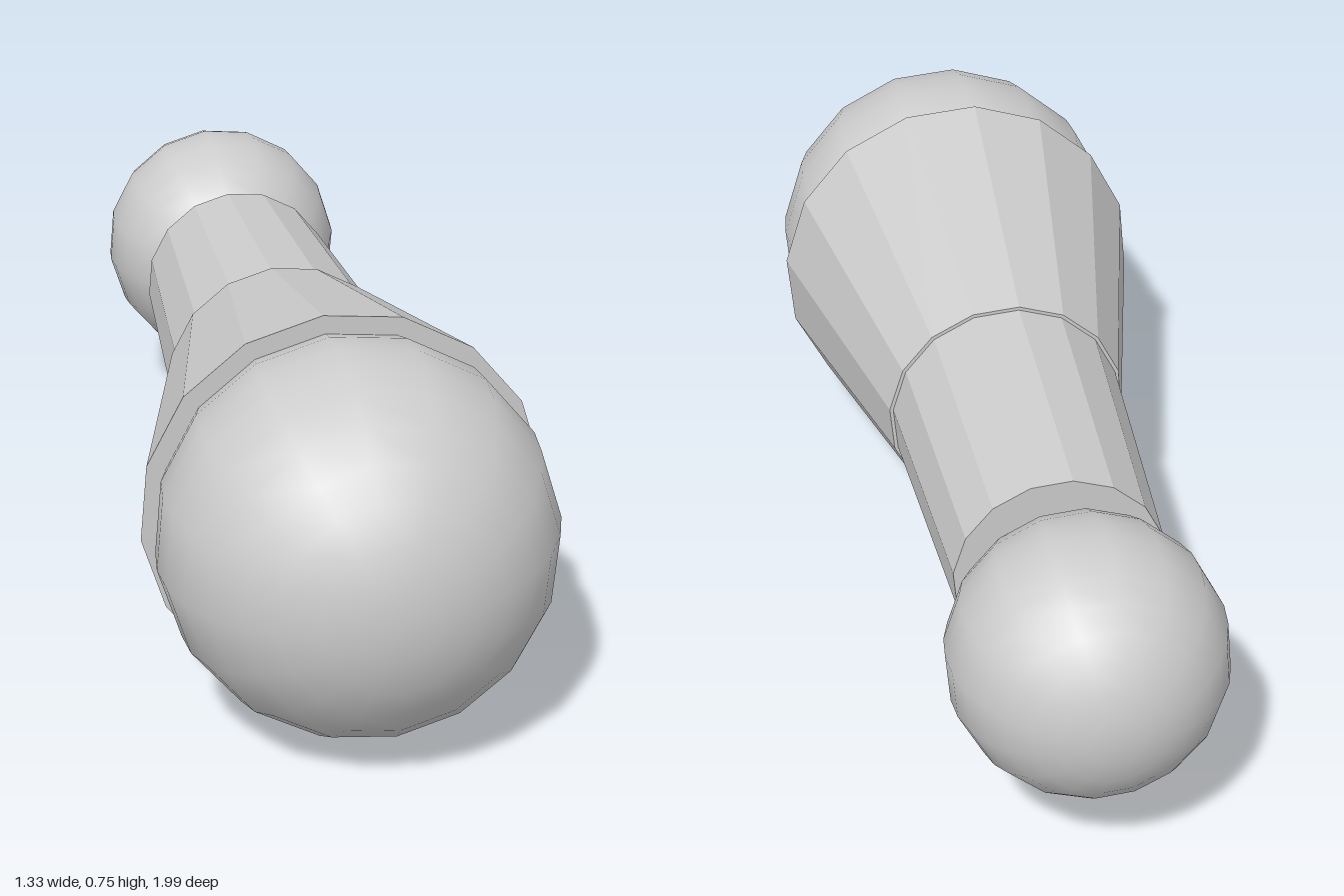
import * as THREE from 'three';

export function createModel() {
  const model = new THREE.Group();
  model.name = 'limbSegment';

  const grey = new THREE.MeshStandardMaterial({ color: 0xcccccc });
  grey.name = 'light grey';

  // Local +y runs along the limb, from the small ball to the large one
  const limb = new THREE.Group();
  limb.name = 'limb';
  limb.position.set(-0.035, 0.382, -0.025);
  limb.rotation.set(Math.PI / 2, 0.48, 0, 'YXZ');
  model.add(limb);

  const SIDES = 16;
  const ROLL = 0.105;

  function add(name, geometry, along) {
    geometry.rotateY(ROLL);
    const mesh = new THREE.Mesh(geometry, grey);
    mesh.name = name;
    mesh.position.y = along;
    limb.add(mesh);
  }

  // Faceted, capped cone between two positions along the limb
  function cone(name, from, to, rFrom, rTo) {
    let g = new THREE.CylinderGeometry(rTo, rFrom, to - from, SIDES);
    g = g.toNonIndexed();
    g.computeVertexNormals();
    add(name, g, (from + to) / 2);
  }

  // Smooth ball joint
  function ball(name, along, radius) {
    add(name, new THREE.SphereGeometry(radius, SIDES, SIDES), along);
  }

  cone('lowerShaft', -0.563, 0, 0.202, 0.232);
  cone('upperShaft', 0, 0.61, 0.239, 0.379);
  ball('smallBall', -0.81, 0.257);
  ball('largeBall', 0.737, 0.367);

  return model;
}
